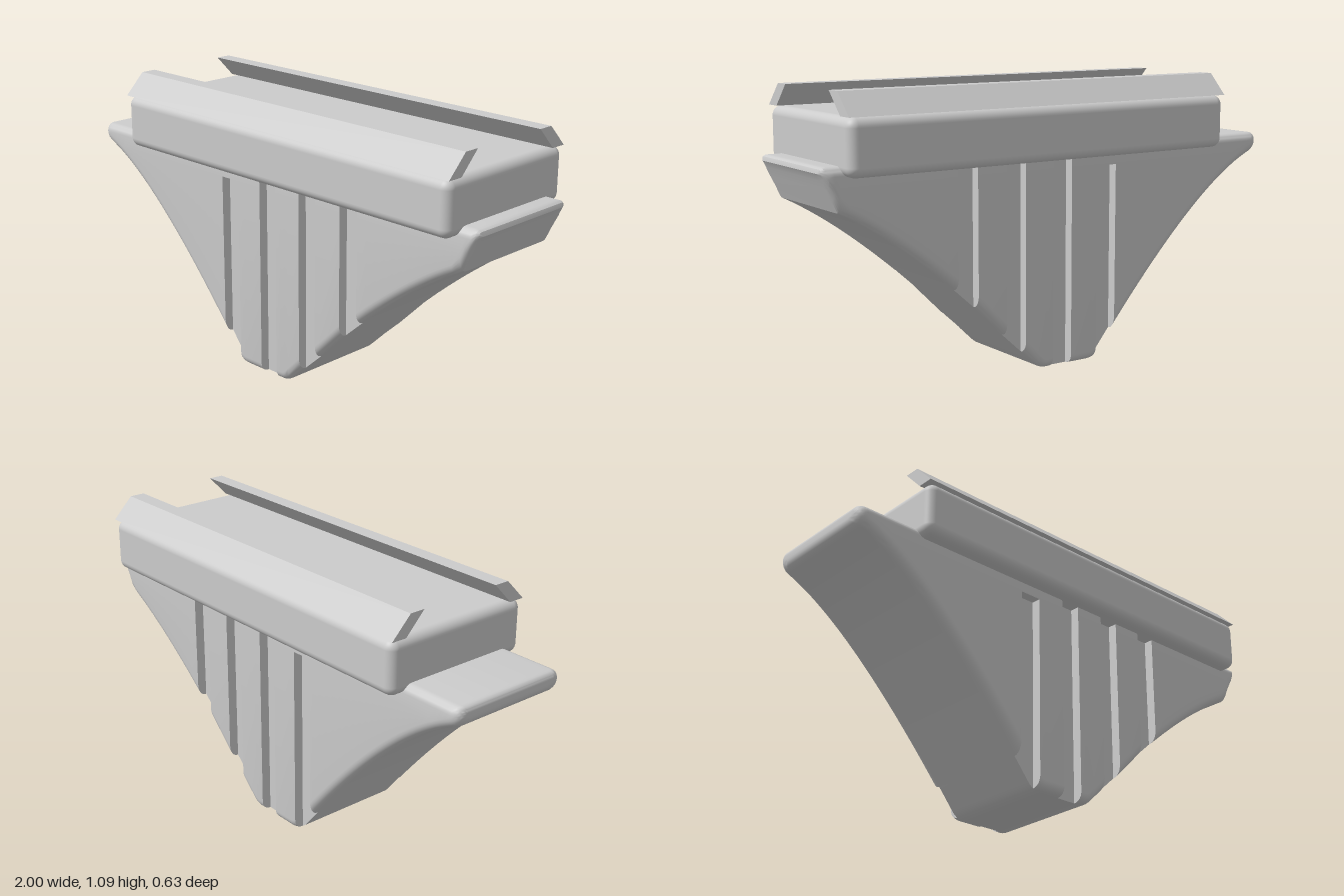
import * as THREE from 'three';
import { toCreasedNormals } from 'three/addons/utils/BufferGeometryUtils.js';
import { RoundedBoxGeometry } from 'three/addons/geometries/RoundedBoxGeometry.js';

const R = 0.036, TOP = 0.837, HALF = 0.25, GROOVE_Z = 0.212;
// upright grooves in both sides: from x, to x, upper end
const GROOVES = [[-0.25, -0.16, 0.76], [-0.04, 0.045, 0.8], [0.17, 0.255, 0.8], [0.38, 0.465, 0.8]];

// lower edge of the wedge, from the left tip to the slanted right end
function lowerEdge() {
  const v = (x, y) => new THREE.Vector2(x, y);
  const bez = (a, b, c, n) => new THREE.QuadraticBezierCurve(a, b, c).getPoints(n);
  return [
    ...bez(v(-1, 0.795), v(-1, 0.77), v(-0.965, 0.755), 6),
    ...bez(v(-0.965, 0.755), v(-0.67, 0.63), v(-0.185, 0.028), 24).slice(1),
    ...bez(v(-0.185, 0.028), v(-0.163, 0), v(-0.13, 0), 5).slice(1),
    ...bez(v(0.07, 0), v(0.09, 0), v(0.11, 0.018), 4),
    v(0.17, 0.075), v(0.255, 0.152), v(0.38, 0.275),
    ...bez(v(0.465, 0.35), v(0.73, 0.575), v(0.93, 0.675), 12),
    v(0.95, 0.717), v(0.97, 0.758), v(0.985, 0.79), v(0.994, 0.806), v(1, 0.815),
  ];
}

function bodyGeometry() {
  const edge = lowerEdge();
  const lowAt = (x) => {
    let i = 1;
    while (i < edge.length - 1 && edge[i].x < x) i++;
    const a = edge[i - 1], b = edge[i];
    return a.y + (b.y - a.y) * THREE.MathUtils.clamp((x - a.x) / (b.x - a.x), 0, 1);
  };
  // how far a rounded corner falls back near the ends
  const fallback = (x, r) => {
    const d = Math.max(0, r - (1 - Math.abs(x)));
    return r - Math.sqrt(Math.max(0, r * r - d * d));
  };

  // rounded cross-section, cut back to the groove floor where needed
  function section(x, groove) {
    const low = lowAt(x), top = TOP - fallback(x, 0.022), h = top - low;
    const slope = (lowAt(Math.min(1, x + 0.01)) - lowAt(Math.max(-1, x - 0.01))) / 0.02;
    const ry = Math.min(R * Math.hypot(1, slope), h * 0.5), rt = Math.min(0.032, h * 0.45);
    const w = HALF - fallback(x, R), half = [], N = 6;
    for (let i = 0; i <= N; i++) {
      const a = (i / N) * Math.PI / 2;
      half.push([low + ry * (1 - Math.cos(a)), w - R + R * Math.sin(a)]);
    }
    const gy = THREE.MathUtils.clamp(groove ? groove[2] : 0.76, low + ry, top - rt);
    half.push([gy, w]);
    if (groove) half.forEach((p) => { p[1] = Math.min(p[1], GROOVE_Z); });
    half.push([gy, w]);
    for (let i = 0; i <= N; i++) {
      const a = (i / N) * Math.PI / 2;
      half.push([top - rt + rt * Math.sin(a), w - rt + rt * Math.cos(a)]);
    }
    const back = half.map(([y, z]) => [y, -z]).reverse();
    return [...half, ...back].map(([y, z]) => [x, y, z]);
  }

  const xs = [...edge.map((p) => p.x), ...GROOVES.flatMap((g) => [g[0], g[1]])].sort((a, b) => a - b)
    .filter((x, i, all) => i === 0 || x - all[i - 1] > 1e-5);
  const rings = [];
  let last = null;
  for (let i = 0; i < xs.length - 1; i++) {
    const mid = (xs[i] + xs[i + 1]) / 2;
    const groove = GROOVES.find((g) => mid > g[0] && mid < g[1]);
    if (i === 0 || groove !== last) rings.push(section(xs[i], groove));
    rings.push(section(xs[i + 1], groove));
    last = groove;
  }

  const pos = [], index = [], n = rings[0].length;
  rings.forEach((ring) => ring.forEach((p) => pos.push(...p)));
  for (let r = 0; r < rings.length - 1; r++) {
    for (let i = 0; i < n; i++) {
      const j = (i + 1) % n, a = r * n, b = a + n;
      index.push(a + i, b + i, b + j, a + i, b + j, a + j);
    }
  }
  const end = (rings.length - 1) * n;
  for (let i = 1; i < n - 1; i++) index.push(0, i, i + 1, end, end + i + 1, end + i);
  const geo = new THREE.BufferGeometry();
  geo.setAttribute('position', new THREE.Float32BufferAttribute(pos, 3));
  geo.setIndex(index);
  return toCreasedNormals(geo, 0.6);
}

export function createModel() {
  const group = new THREE.Group();
  const material = new THREE.MeshStandardMaterial({ color: 0xcccccc });
  const add = (name, geometry) => {
    const mesh = new THREE.Mesh(geometry, material);
    mesh.name = name;
    group.add(mesh);
    return mesh;
  };

  // grooved wedge
  add('wedgeBody', bodyGeometry());

  // block on top of the wedge
  const x0 = -0.748, x1 = 0.925, length = x1 - x0, cx = (x0 + x1) / 2;
  add('topBlock', new RoundedBoxGeometry(length, 0.207, 0.628, 5, 0.036)).position.set(cx, 0.9025, 0);

  // rails leaning inwards along both long edges
  for (const [name, s] of [['frontRail', 1], ['backRail', -1]]) {
    const shape = new THREE.Shape([[0.314, 1.007], [0.25, 1.007], [0.17, 1.09], [0.232, 1.09]]
      .map(([z, y]) => new THREE.Vector2(-z * s, y)));
    const geo = new THREE.ExtrudeGeometry(shape, { depth: length, bevelEnabled: false });
    geo.rotateY(Math.PI / 2);
    add(name, geo).position.x = x0;
  }
  return group;
}
